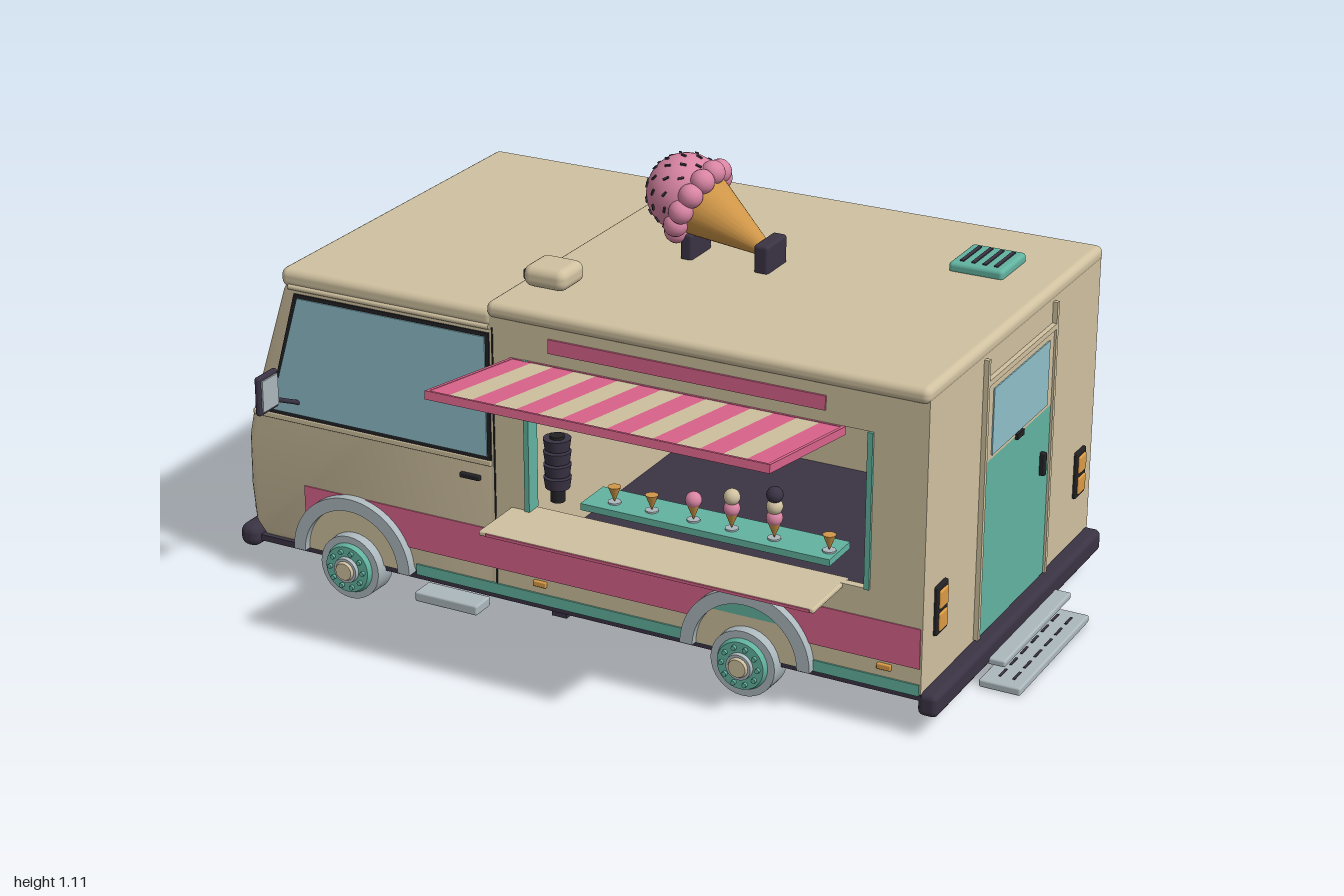
import * as THREE from 'three';
import { RoundedBoxGeometry } from 'three/addons/geometries/RoundedBoxGeometry.js';
import { toCreasedNormals } from 'three/addons/utils/BufferGeometryUtils.js';

const mat = (name, color) => {
  const m = new THREE.MeshStandardMaterial({ color, side: THREE.DoubleSide });
  m.name = name;
  return m;
};
const M = {
  cream: mat('cream', 0xd0c1a0), pink: mat('pink', 0xd9638a), teal: mat('teal', 0x62b3a0),
  dark: mat('dark plum', 0x3a3344), black: mat('black', 0x222226), glass: mat('glass', 0x8fbfca),
  grey: mat('light grey', 0xacb8bd), amber: mat('amber', 0xdb9a45), cone: mat('waffle', 0xcf9648),
  ice: mat('strawberry', 0xd985a3),
};
const C = -0.105, HALF = 0.51;            // centre line and half width of the body
const side = (s, off = 0) => C + s * (HALF + off);

export function createModel() {
  const root = new THREE.Group();
  const add = (name, geo, m, x = 0, y = 0, z = 0, parent = root) => {
    const mesh = new THREE.Mesh(geo, m);
    mesh.name = name;
    mesh.position.set(x, y, z);
    parent.add(mesh);
    return mesh;
  };
  // box given by its min and max along each axis; r rounds the edges
  const box = (name, m, x0, x1, y0, y1, z0, z1, r = 0, parent = root) => {
    const d = [x1 - x0, y1 - y0, z1 - z0];
    const g = r ? new RoundedBoxGeometry(...d, 3, r) : new THREE.BoxGeometry(...d);
    return add(name, g, m, (x0 + x1) / 2, (y0 + y1) / 2, (z0 + z1) / 2, parent);
  };
  const shape = (pts) => new THREE.Shape(pts.map((p) => new THREE.Vector2(...p)));
  const plate = (name, m, shp, z, depth = 0.006) => {
    const g = new THREE.ExtrudeGeometry(shp, { depth, bevelEnabled: false, curveSegments: 20 });
    return add(name, g.translate(0, 0, -depth / 2), m, 0, 0, z);
  };
  const rod = (name, m, a, b, r) => {
    const path = new THREE.LineCurve3(new THREE.Vector3(...a), new THREE.Vector3(...b));
    return add(name, new THREE.TubeGeometry(path, 1, r, 10), m);
  };

  // Cab: side profile with softened edges
  const cab = new THREE.ExtrudeGeometry(shape([[-0.24, 0.115], [-0.92, 0.115], [-0.948, 0.15],
    [-0.957, 0.25], [-0.955, 0.38], [-0.938, 0.46], [-0.833, 0.79], [-0.815, 0.82], [-0.24, 0.82]]), {
    depth: 2 * HALF - 0.04, bevelSize: 0.02, bevelThickness: 0.02, bevelOffset: -0.02, bevelSegments: 3 });
  add('cab', toCreasedNormals(cab, 0.5), M.cream, 0, 0, C - HALF + 0.02);
  box('cabRoof', M.cream, -0.835, -0.24, 0.795, 0.845, side(-1, -0.003), side(1, 0.003), 0.02);
  for (const s of [-1, 1]) rod('roofGutter', M.cream, [-0.81, 0.8, side(s)], [-0.25, 0.8, side(s)], 0.007);

  // Kitchen body shell with a serving hatch
  const wall = shape([[-0.25, 0.115], [0.87, 0.115], [0.87, 0.84], [-0.25, 0.84]]);
  wall.holes.push(new THREE.Path([[-0.155, 0.35], [-0.155, 0.735], [0.735, 0.735], [0.735, 0.35]]
    .map((p) => new THREE.Vector2(...p))));
  plate('hatchWall', M.cream, wall, side(1, -0.01), 0.02);
  box('plainWall', M.cream, -0.25, 0.87, 0.115, 0.84, side(-1), side(-1, -0.02));
  box('rearWall', M.cream, 0.85, 0.87, 0.115, 0.84, side(-1), side(1));
  box('partition', M.cream, -0.25, -0.235, 0.115, 0.84, side(-1), side(1));
  box('kitchenFloor', M.dark, -0.235, 0.85, 0.13, 0.145, side(-1, -0.02), side(1, -0.02));
  box('bodyRoof', M.cream, -0.255, 0.873, 0.825, 0.866, side(-1, 0.01), side(1, 0.01), 0.018);
  box('floorPan', M.dark, -0.93, 0.87, 0.1, 0.116, side(-1), side(1));

  // Painted bands, trim, cab windows and doors on both flanks
  const cabWindow = (g) => shape([[-0.875 - g, 0.47 - g], [-0.26 + g, 0.47 - g],
    [-0.26 + g, 0.775 + g], [-0.785 - g, 0.775 + g]]);
  for (const s of [-1, 1]) {
    box('sideBand', M.pink, -0.79, 0.866, 0.18, 0.28, side(s, -0.002), side(s, 0.003));
    box('sillTrim', M.teal, -0.47, 0.866, 0.112, 0.14, side(s, -0.004), side(s, 0.004));
    box('fasciaPanel', M.pink, -0.09, 0.62, s > 0 ? 0.765 : 0.725, 0.8, side(s, -0.002), side(s, 0.005));
    plate('windowSeal', M.black, cabWindow(0.01), side(s, 0.001));
    plate('cabWindow', M.glass, cabWindow(0), side(s, 0.004));
    box('beltLine', M.cream, -0.93, -0.25, 0.445, 0.46, side(s, -0.004), side(s, 0.006), 0.003);
    box('doorHandle', M.black, -0.335, -0.28, 0.403, 0.416, side(s), side(s, 0.012), 0.003);
    box('doorSeam', M.black, -0.244, -0.24, 0.14, 0.8, side(s, -0.001), side(s, 0.002));
    for (const x of [-0.12, 0.78])
      box('sideMarker', M.amber, x - 0.018, x + 0.018, 0.16, 0.175, side(s), side(s, 0.01), 0.003);
    box('sideStep', M.grey, -0.45, -0.275, 0.062, 0.088, side(s, -0.02), side(s, 0.045), 0.005);

    // Mirrors on arms
    rod('mirrorArm', M.dark, [-0.795, 0.5, side(s)], [-0.803, 0.55, side(s, 0.11)], 0.006);
    box('mirrorCase', M.dark, -0.813, -0.797, 0.52, 0.62, side(s, 0.08), side(s, 0.16), 0.007);
    box('mirrorGlass', M.grey, -0.797, -0.793, 0.53, 0.61, side(s, 0.088), side(s, 0.152));

    // Wheels and arches
    for (const x of [-0.645, 0.435]) {
      const arch = new THREE.Shape().absarc(x, 0.115, 0.168, 0, Math.PI, false);
      arch.absarc(x, 0.115, 0.135, Math.PI, 0, true);
      plate('wheelArch', M.grey, arch, side(s, 0.01), 0.03);
      plate('archLiner', M.cream, new THREE.Shape().absarc(x, 0.115, 0.136, 0, Math.PI, false), side(s, 0.003));
      if (x > 0) {
        const inset = new THREE.Shape().absarc(x, 0.115, 0.136, 0.8, Math.PI - 0.8, false);
        plate('archInset', M.teal, inset, side(s, 0.005));
      }
      const wheel = new THREE.Group();
      wheel.name = 'wheel';
      wheel.position.set(x, 0.103, side(s));
      wheel.rotation.x = s * Math.PI / 2;
      root.add(wheel);
      const cyl = (name, m, r0, r1, y0, y1) =>
        add(name, new THREE.CylinderGeometry(r1, r0, y1 - y0, 32), m, 0, (y0 + y1) / 2, 0, wheel);
      cyl('tyre', M.grey, 0.085, 0.083, -0.03, 0.032);
      cyl('rim', M.teal, 0.066, 0.06, 0.03, 0.045);
      cyl('hub', M.grey, 0.034, 0.032, 0.044, 0.055);
      cyl('hubCap', M.cream, 0.026, 0.022, 0.054, 0.062);
      for (let i = 0; i < 10; i++) {
        const a = i * Math.PI / 5;
        add('wheelNut', new THREE.CylinderGeometry(0.006, 0.006, 0.01, 8), M.teal,
          0.047 * Math.cos(a), 0.048, 0.047 * Math.sin(a), wheel);
      }
    }
  }

  // Raised outline on the closed flank
  for (const x of [-0.19, 0.73]) box('panelEdge', M.cream, x, x + 0.012, 0.35, 0.81, side(-1, 0.008), side(-1));

  // Nose: windscreen, lamps, grille, band
  for (const [z0, z1] of [[-0.56, -0.125], [-0.1, 0.345]]) {
    const seal = box('windscreenSeal', M.black, -0.8925, -0.8845, 0.47, 0.79, z0 - 0.008, z1 + 0.008);
    const pane = box('windscreen', M.glass, -0.896, -0.888, 0.48, 0.78, z0, z1);
    seal.rotation.z = pane.rotation.z = -0.308;
  }
  box('noseBand', M.pink, -0.96, -0.95, 0.17, 0.275, side(-1, -0.025), side(1, -0.025));
  box('grille', M.black, -0.967, -0.95, 0.255, 0.385, C - 0.18, C + 0.18, 0.004);
  for (let i = 0; i < 5; i++)
    box('grilleBar', M.dark, -0.972, -0.965, 0.272 + i * 0.022, 0.28 + i * 0.022, C - 0.165, C + 0.165);
  for (const s of [-1, 1]) {
    const lamp = (name, m, r, x) =>
      (add(name, new THREE.CylinderGeometry(r, r, 0.02, 28), m, x, 0.33, C + s * 0.36).rotation.z = Math.PI / 2);
    lamp('headlampRing', M.teal, 0.058, -0.955);
    lamp('headlamp', M.grey, 0.04, -0.959);
    lamp('headlampLens', M.teal, 0.033, -0.961);
    for (const d of [0.14, 0.4])
      box('roofMarker', M.amber, -0.842, -0.815, 0.808, 0.825, C + s * d - 0.018, C + s * d + 0.018, 0.004);
  }
  box('frontBumper', M.dark, -1, -0.943, 0.07, 0.13, side(-1), side(1), 0.024);

  // Rear: door, lamps, bumper, steps
  box('rearDoor', M.teal, 0.865, 0.876, 0.12, 0.565, -0.31, 0.09);
  box('rearWindowFrame', M.cream, 0.866, 0.877, 0.565, 0.76, -0.305, 0.09);
  box('rearWindow', M.glass, 0.87, 0.88, 0.575, 0.74, -0.275, 0.06);
  for (const z of [-0.318, 0.094]) box('doorPost', M.cream, 0.865, 0.882, 0.12, 0.825, z, z + 0.012);
  box('doorHeader', M.cream, 0.865, 0.882, 0.758, 0.772, -0.318, 0.106);
  box('rearHandle', M.black, 0.874, 0.89, 0.4, 0.46, -0.265, -0.25, 0.004);
  box('doorLatch', M.black, 0.874, 0.884, 0.558, 0.572, C - 0.02, C + 0.02);
  for (const z of [-0.53, 0.315]) {
    box('tailLampFrame', M.black, 0.865, 0.879, 0.237, 0.36, z - 0.03, z + 0.03, 0.004);
    for (const y of [0.247, 0.303]) box('tailLamp', M.amber, 0.87, 0.884, y, y + 0.045, z - 0.022, z + 0.022, 0.004);
  }
  box('rearBumper', M.dark, 0.86, 0.91, 0.06, 0.118, side(-1), side(1), 0.015);
  box('upperStep', M.grey, 0.86, 0.95, 0.063, 0.08, -0.315, 0.1, 0.005);
  box('lowerStep', M.grey, 0.89, 0.995, 0.005, 0.025, -0.325, 0.112, 0.005);
  for (let i = 0; i < 6; i++) for (const x of [0.925, 0.96])
    box('stepTread', M.dark, x, x + 0.006, 0.022, 0.027, -0.29 + i * 0.065, -0.25 + i * 0.065);

  // Chassis frame
  for (const z of [-0.39, 0.18]) box('frameRail', M.dark, -0.88, 0.78, 0.03, 0.08, z - 0.023, z + 0.023, 0.008);
  for (const x of [-0.645, -0.1, 0.435]) box('crossMember', M.dark, x - 0.02, x + 0.02, 0.06, 0.1, side(-1, -0.05), side(1, -0.05));

  // Hatch frame, counter and awning
  for (const x of [-0.158, 0.725]) box('hatchPost', M.teal, x, x + 0.013, 0.35, 0.735, 0.37, 0.412);
  box('counter', M.cream, -0.2, 0.67, 0.337, 0.35, 0.37, 0.555, 0.005);
  box('counterEdge', M.pink, -0.18, 0.66, 0.34, 0.347, 0.55, 0.558);
  box('innerCounter', M.teal, -0.03, 0.62, 0.365, 0.382, 0.26, 0.37);
  const awning = new THREE.Group();
  awning.name = 'awning';
  awning.position.set(0.2375, 0.752, 0.59);
  awning.rotation.x = -0.144;
  root.add(awning);
  const n = 15, w = 0.855 / n;
  for (let i = 0; i < n; i++) {
    const x = -0.4275 + i * w;
    box('awningStripe', i % 2 ? M.cream : M.pink, x, x + w, -0.006, 0.008, -0.19, 0.19, 0, awning);
  }
  for (const z of [-0.188, 0.184]) box('awningRail', M.pink, -0.4275, 0.4275, -0.011, 0.009, z, z + 0.008, 0, awning);
  for (const x of [-0.43, 0.422]) box('awningEnd', M.pink, x, x + 0.008, -0.011, 0.009, -0.19, 0.192, 0, awning);

  // Treats on the counter and a mixer beside them
  [[0.04, 0], [0.14, 0], [0.25, 1], [0.35, 2], [0.46, 3], [0.6, 0]].forEach(([x, scoops]) => {
    add('treatStand', new THREE.CylinderGeometry(0.016, 0.016, 0.004, 16), M.grey, x, 0.385, 0.33);
    add('treatCone', new THREE.ConeGeometry(0.016, 0.04, 16).rotateX(Math.PI), M.cone, x, 0.405, 0.33);
    for (let i = 0; i < scoops; i++)
      add('treatScoop', new THREE.SphereGeometry(0.02, 16, 12), [M.ice, M.cream, M.dark][i], x, 0.436 + i * 0.029, 0.33);
  });
  for (let i = 0; i < 4; i++)
    add('mixer', new THREE.CylinderGeometry(0.034, 0.03, 0.028, 20), M.dark, -0.12, 0.4 + i * 0.033, 0.32);
  add('mixerStem', new THREE.CylinderGeometry(0.018, 0.018, 0.17, 16), M.black, -0.12, 0.435, 0.32);

  // Roof vents and cream pods
  for (const x of [-0.095, 0.68]) {
    box('roofVent', M.teal, x - 0.07, x + 0.07, 0.86, 0.888, -0.43, -0.28, 0.01);
    for (let i = 0; i < 4; i++)
      box('ventSlot', M.dark, x - 0.048 + i * 0.029, x - 0.038 + i * 0.029, 0.885, 0.891, -0.41, -0.3);
  }
  for (const z of [-0.477, 0.243]) {
    box('roofPod', M.cream, -0.225, -0.11, 0.868, 0.922, z - 0.054, z + 0.054, 0.022);
    box('podOpening', M.dark, -0.228, -0.2, 0.882, 0.908, z - 0.04, z + 0.04, 0.004);
  }

  // Giant ice cream lying on two stands; local +y runs from tip to scoop
  box('tipStand', M.dark, 0.207, 0.245, 0.86, 0.935, C - 0.053, C + 0.053, 0.008);
  box('scoopStand', M.dark, 0.01, 0.042, 0.86, 0.93, C - 0.053, C + 0.053, 0.008);
  const treat = new THREE.Group();
  treat.name = 'giantIceCream';
  treat.position.set(0, 1.015, C);
  treat.rotation.z = 1.1;
  root.add(treat);
  add('scoop', new THREE.SphereGeometry(0.097, 32, 24), M.ice, 0, 0, 0, treat);
  add('giantCone', new THREE.CylinderGeometry(0.085, 0.014, 0.21, 28), M.cone, 0, -0.145, 0, treat);
  for (let i = 0; i < 12; i++) {
    const a = i * Math.PI / 6;
    add('scoopFrill', new THREE.SphereGeometry(0.03, 16, 12), M.ice, 0.088 * Math.cos(a), -0.035, 0.088 * Math.sin(a), treat);
  }
  // Sprinkles spread in a spiral over the scoop
  for (let i = 0; i < 44; i++) {
    const y = 0.97 - i * 0.024, a = i * 2.4, r = Math.sqrt(1 - y * y);
    const p = new THREE.Vector3(r * Math.cos(a), y, r * Math.sin(a)).multiplyScalar(0.098);
    const s = add('sprinkle', new THREE.BoxGeometry(0.005, 0.015, 0.005), M.dark, p.x, p.y, p.z, treat);
    s.lookAt(s.position.clone().multiplyScalar(2).applyMatrix4(treat.matrixWorld));
    s.quaternion.setFromUnitVectors(new THREE.Vector3(0, 0, 1), p.normalize());
    s.rotateZ(a);
  }
  return root;
}
